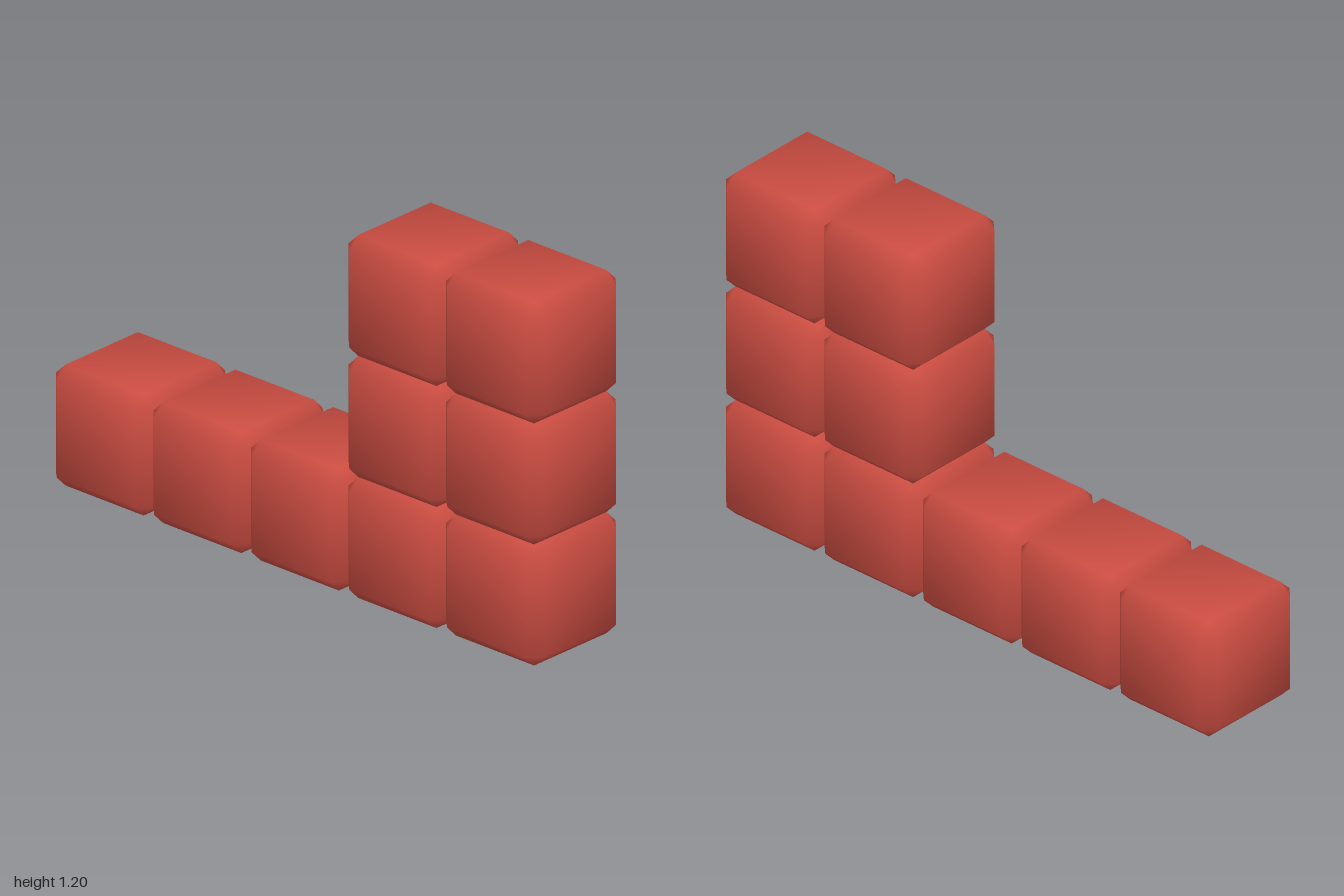
import * as THREE from 'three';
import { ConvexGeometry } from 'three/addons/geometries/ConvexGeometry.js';

const SIZE = 0.4, BEVEL = 0.04;

// Cube with chamfered edges and corners, shaded smoothly across the bevels
function chamferedCube() {
  const h = SIZE / 2, i = h - BEVEL;
  const points = [];
  for (const x of [-1, 1]) for (const y of [-1, 1]) for (const z of [-1, 1]) {
    points.push(
      new THREE.Vector3(x * h, y * i, z * i),
      new THREE.Vector3(x * i, y * h, z * i),
      new THREE.Vector3(x * i, y * i, z * h)
    );
  }
  const geometry = new ConvexGeometry(points);

  // Normals lean from the main face toward its two neighbours at each corner
  const pos = geometry.attributes.position, normal = geometry.attributes.normal;
  const lean = (c) => Math.sign(c) * (Math.abs(c) > h - BEVEL / 2 ? 2.8 : 1.09);
  const n = new THREE.Vector3();
  for (let k = 0; k < pos.count; k++) {
    n.set(lean(pos.getX(k)), lean(pos.getY(k)), lean(pos.getZ(k))).normalize();
    normal.setXYZ(k, n.x, n.y, n.z);
  }
  return geometry;
}

export function createModel() {
  const model = new THREE.Group();
  model.name = 'blockPiece';
  const geometry = chamferedCube();
  const material = new THREE.MeshStandardMaterial({ color: 0xc94c41 });

  // Cubes stacked per column, from front to back
  const heights = [3, 3, 1, 1, 1];
  heights.forEach((count, column) => {
    for (let row = 0; row < count; row++) {
      const cube = new THREE.Mesh(geometry, material);
      cube.name = `cubeColumn${column + 1}Row${row + 1}`;
      cube.position.set(0, (row + 0.5) * SIZE, (2 - column) * SIZE);
      model.add(cube);
    }
  });
  return model;
}
